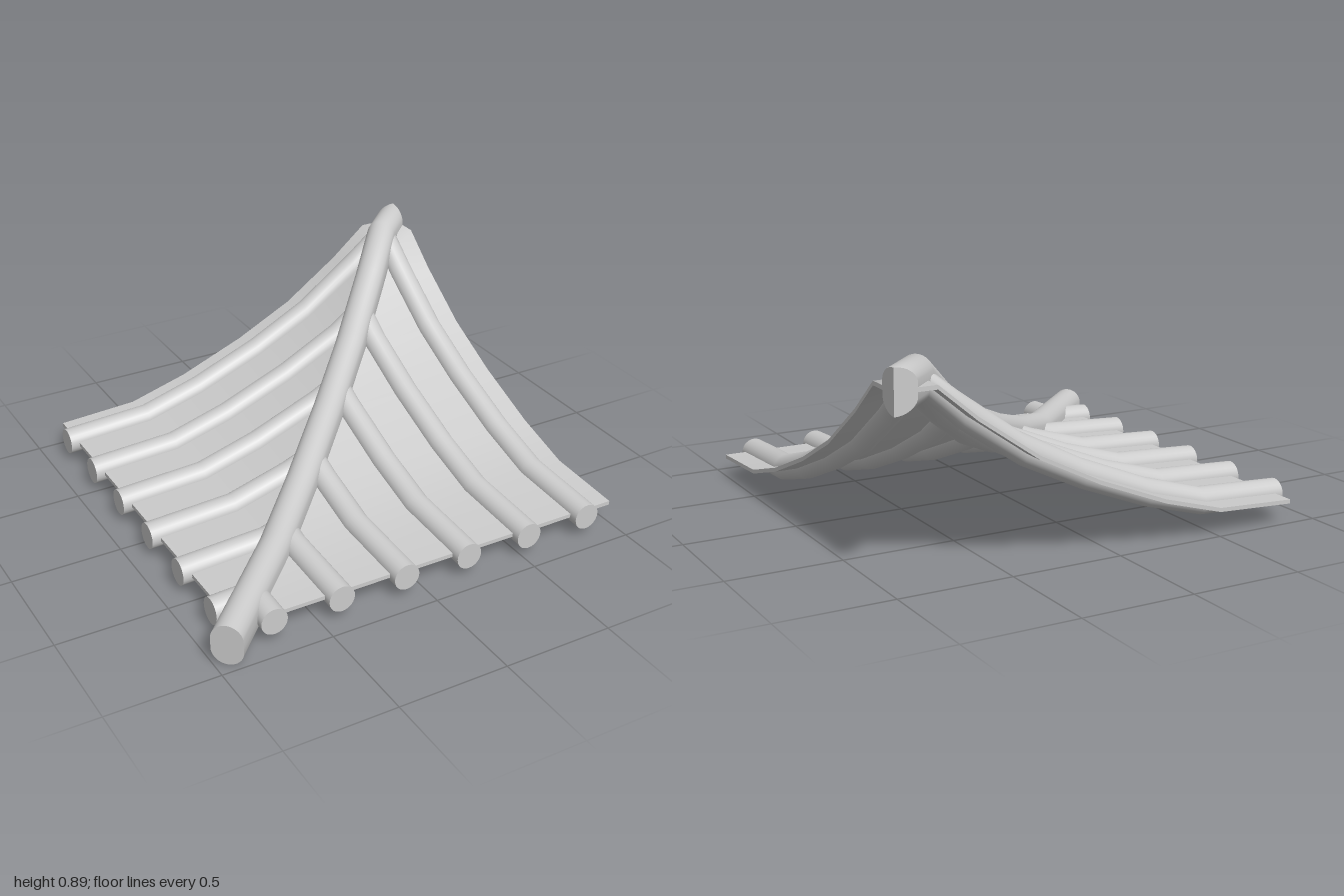
import * as THREE from 'three';
import { toCreasedNormals } from 'three/addons/utils/BufferGeometryUtils.js';

const material = new THREE.MeshStandardMaterial({ color: 0xcccccc });

// Roof slope: height against distance t up the slope
const SLOPE = [[-0.95, 0.097], [-0.5, 0.12], [-0.22, 0.2], [0.1, 0.327], [0.38, 0.467], [0.65, 0.655], [0.82, 0.797], [1, 0.797]];

function heightAt(t) {
  let i = 1;
  while (i < SLOPE.length - 1 && t > SLOPE[i][0]) i++;
  const [t0, y0] = SLOPE[i - 1], [t1, y1] = SLOPE[i];
  return y0 + (y1 - y0) * (t - t0) / (t1 - t0);
}

// Stations between two distances, keeping the bends of the slope
function stations(from, to) {
  return [from, ...SLOPE.map(p => p[0]).filter(t => t > from + 0.005 && t < to - 0.005), to];
}

// Closed solid through rings of points, with a fan cap at each end
function loft(name, rings) {
  const n = rings[0].length, pos = [], index = [];
  const add = p => pos.push(...p);
  rings.forEach(r => r.forEach(add));
  for (let i = 0; i < rings.length - 1; i++) {
    for (let j = 0; j < n; j++) {
      const a = i * n + j, b = i * n + (j + 1) % n;
      index.push(a, b, b + n, a, b + n, a + n);
    }
  }
  const last = (rings.length - 1) * n, c0 = rings.length * n, c1 = c0 + 1;
  const middle = r => [0, 1, 2].map(k => r.reduce((s, p) => s + p[k], 0) / n);
  add(middle(rings[0]));
  add(rings.at(-1).tip || middle(rings.at(-1)));
  for (let j = 0; j < n; j++) {
    const k = (j + 1) % n;
    index.push(c0, k, j, c1, last + j, last + k);
  }
  const geo = new THREE.BufferGeometry();
  geo.setAttribute('position', new THREE.Float32BufferAttribute(pos, 3));
  geo.setIndex(index);
  const mesh = new THREE.Mesh(toCreasedNormals(geo, 0.7), material);
  mesh.name = name;
  return mesh;
}

// Thin triangular sheet between the eave, the hip and the side edge
function roofPanel() {
  const h = 0.009;
  return loft('roofPanel', stations(-0.87, 0.998).map(t => {
    const y = heightAt(t);
    return [[t, y - h, -t], [t, y + h, -t], [1, y + h, -t], [1, y - h, -t]];
  }));
}

// Round tile row climbing from the eave to the hip
function tileRib(x) {
  const r = 0.06, sides = 24;
  return loft('tileRib', stations(-0.91, x).map((t, i) => {
    const slope = (heightAt(t + 0.03) - heightAt(t - 0.03)) / 0.06;
    const ry = i ? r * Math.hypot(1, slope) : r;
    return Array.from({ length: sides }, (_, j) => {
      const a = j / sides * Math.PI * 2;
      return [x - r * Math.cos(a), heightAt(t) + ry * Math.sin(a), -t];
    });
  }));
}

// Hip ridge: stadium section on the diagonal, trimmed to the two side planes
function hipRidge() {
  const r = 0.07, straight = 0.023, sides = 32;
  const rings = stations(-0.95, 1).map(t => Array.from({ length: sides }, (_, j) => {
    const a = j / sides * Math.PI * 2, s = Math.sin(a);
    const d = -r * Math.cos(a) * Math.SQRT1_2;
    const along = t === 1 ? 1 - Math.abs(d) : t;
    const lift = Math.abs(s) < 1e-6 ? 0 : Math.sign(s) * straight;
    return [along + d, heightAt(t) + r * s + lift, -along + d];
  }));
  rings.at(-1).tip = [1, heightAt(1), -1];
  return loft('hipRidge', rings);
}

function roofSide(name) {
  const side = new THREE.Group();
  side.name = name;
  side.add(roofPanel());
  for (let i = 0; i < 6; i++) side.add(tileRib(-0.718 + i * 0.312));
  return side;
}

export function createModel() {
  const model = new THREE.Group();
  model.name = 'roofCorner';
  const front = roofSide('frontSlope');
  // Second slope is the first mirrored across the hip diagonal
  const side = roofSide('sideSlope');
  side.scale.x = -1;
  side.rotation.y = -Math.PI / 2;
  model.add(front, side, hipRidge());
  return model;
}
